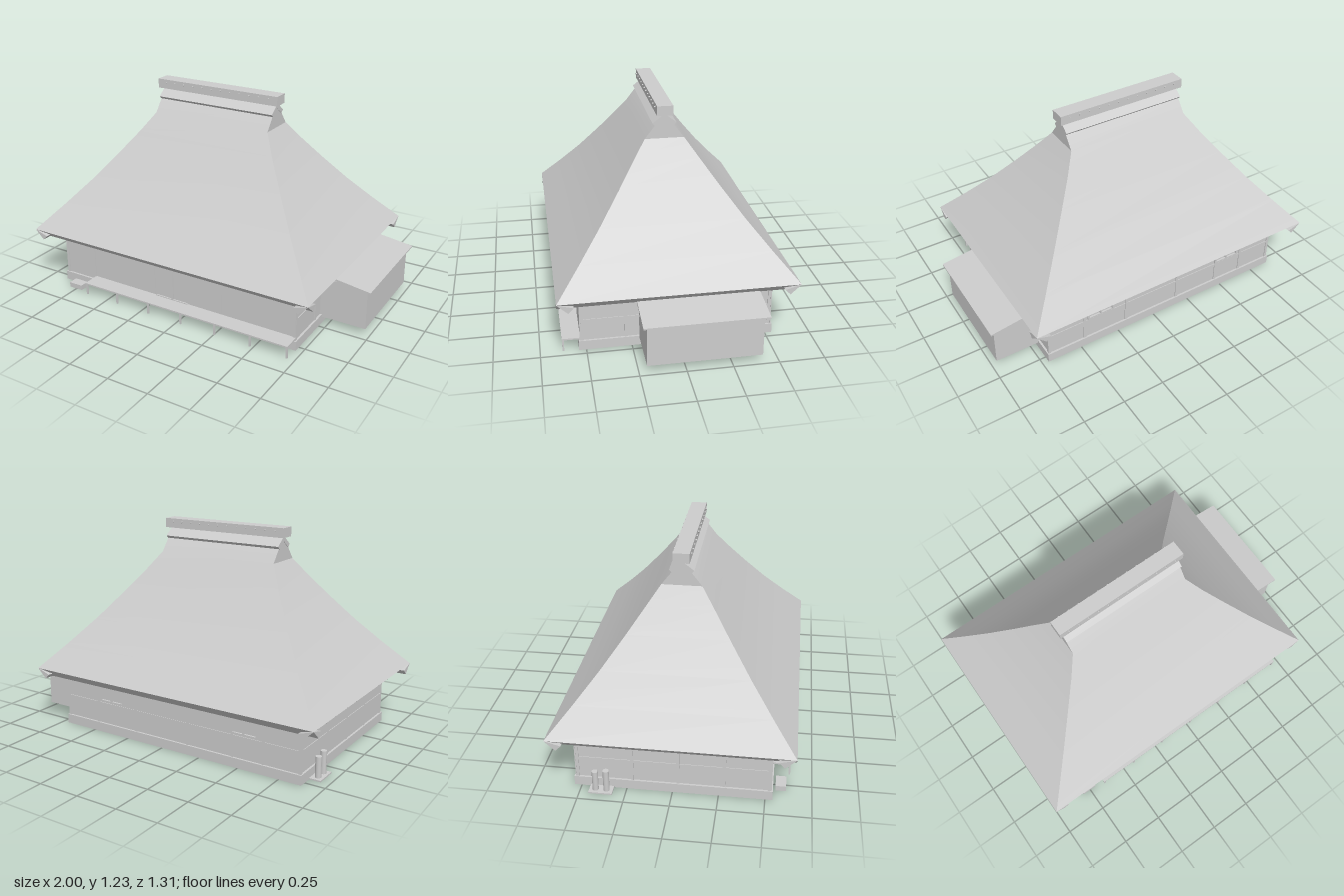
import * as THREE from 'three';

export function createModel() {
  const model = new THREE.Group();
  const paleGrey = new THREE.MeshStandardMaterial({ color: 0xcccccc });
  const CX = -0.085; // centre of the main house along x

  const add = (name, geometry) => {
    const mesh = new THREE.Mesh(geometry, paleGrey);
    mesh.name = name;
    model.add(mesh);
    return mesh;
  };
  // box given by its limits
  const box = (name, x0, x1, y0, y1, z0, z1) => add(name,
    new THREE.BoxGeometry(x1 - x0, y1 - y0, z1 - z0)
      .translate((x0 + x1) / 2, (y0 + y1) / 2, (z0 + z1) / 2));
  // prism with an (x, y) profile running along z
  const prismZ = (name, pts, z0, z1) => {
    const shape = new THREE.Shape(pts.map(p => new THREE.Vector2(p[0], p[1])));
    return add(name, new THREE.ExtrudeGeometry(shape, { depth: z1 - z0, bevelEnabled: false }).translate(0, 0, z0));
  };
  // prism with a (z, y) profile running along x
  const prismX = (name, pts, x0, x1) => {
    const shape = new THREE.Shape(pts.map(p => new THREE.Vector2(-p[0], p[1])));
    return add(name, new THREE.ExtrudeGeometry(shape, { depth: x1 - x0, bevelEnabled: false })
      .rotateY(Math.PI / 2).translate(x0, 0, 0));
  };

  // ---- thatched roof: four curved slopes; [height, half depth] levels
  const levels = [[0.36, 0.655], [0.505, 0.525], [0.652, 0.4], [0.81, 0.278],
    [0.935, 0.186], [1.04, 0.11], [1.11, 0.056], [1.17, 0]];
  const GABLE = 0.377;
  const halfX = z => Math.max(z + 0.26, GABLE);
  const slope = (name, rows) => { // rows of [left, right] seen from outside, bottom to top
    const pos = [], idx = [];
    rows.forEach(([l, r], i) => {
      pos.push(...l, ...r);
      const k = i * 2;
      if (i) idx.push(k - 2, k - 1, k + 1, k - 2, k + 1, k);
    });
    const g = new THREE.BufferGeometry();
    g.setAttribute('position', new THREE.Float32BufferAttribute(pos, 3));
    g.setIndex(idx);
    g.computeVertexNormals();
    return add(name, g);
  };
  for (const s of [1, -1]) {
    slope(s > 0 ? 'frontRoofSlope' : 'backRoofSlope', levels.map(([y, z]) =>
      [[CX - s * halfX(z), y, s * z], [CX + s * halfX(z), y, s * z]]));
    slope(s > 0 ? 'leftRoofSlope' : 'rightRoofSlope', levels.slice(0, 6).map(([y, z]) =>
      [[CX + s * halfX(z), y, s * z], [CX + s * halfX(z), y, -s * z]]));
    slope('gable', levels.slice(5).map(([y, z]) =>
      [[CX + s * GABLE, y, s * z], [CX + s * GABLE, y, -s * z]]));
    // overhanging eave edges, crossing at the corners
    prismX('eaveEdge', [[s * 0.655, 0.36], [s * 0.595, 0.305], [s * 0.565, 0.335]], CX - 0.915, CX + 0.915);
    const ex = d => CX + s * (0.915 - d);
    prismZ('eaveEdge', [[ex(0), 0.36], [ex(0.058), 0.305], [ex(0.085), 0.332]], -0.655, 0.655);
  }
  box('soffit', CX - 0.84, CX + 0.84, 0.334, 0.338, -0.575, 0.575);

  // ---- ridge cap, ridge beam and its pegs
  prismX('ridgeCap', [[0, 1.18], [0.067, 1.128], [0.05, 1.11], [0, 1.15], [-0.05, 1.11], [-0.067, 1.128]],
    CX - 0.38, CX + 0.38);
  box('ridgeBeam', CX - 0.4, CX + 0.4, 1.175, 1.23, -0.045, 0.045);
  for (let i = 0; i < 12; i++) {
    const peg = add('ridgePeg', new THREE.CylinderGeometry(0.005, 0.005, 0.106, 8).rotateX(Math.PI / 2));
    peg.position.set(CX - 0.345 + i * 0.0627, 1.212, 0);
  }

  // ---- foundation frame, floor and wall body
  for (const s of [1, -1]) {
    const z = s * 0.522, x = CX + s * 0.78;
    box('foundationBeam', CX - 0.798, CX + 0.798, 0, 0.055, z - 0.018, z + 0.018);
    box('foundationBeam', x - 0.018, x + 0.018, 0, 0.055, -0.504, 0.504);
  }
  box('wallBody', CX - 0.786, CX + 0.786, 0.04, 0.336, -0.528, 0.528);

  // ---- timber posts and rails on the back and sides
  for (const x of [0.7, 0.47, 0.19, -0.17, -0.46, -0.65, -0.87])
    box('backPost', x - 0.008, x + 0.008, 0.055, 0.335, -0.533, -0.527);
  box('backRail', CX - 0.786, CX + 0.786, 0.17, 0.183, -0.532, -0.527);
  for (const s of [1, -1]) {
    const x = CX + s * 0.787;
    for (const z of [-0.52, -0.22, 0.03, 0.28, 0.52])
      box('sidePost', x - 0.004, x + 0.004, 0.055, 0.335, z - 0.008, z + 0.008);
    box('sideRail', x - 0.003, x + 0.003, 0.17, 0.183, -0.52, 0.52);
  }

  // ---- two framed back windows
  for (const x of [0.365, -0.535]) {
    for (const d of [-0.08, 0, 0.08])
      box('windowUpright', x + d - 0.006, x + d + 0.006, 0.192, 0.296, -0.539, -0.528);
    for (const y of [0.192, 0.286])
      box('windowRail', x - 0.086, x + 0.086, y, y + 0.01, -0.539, -0.528);
  }

  // ---- front doors and sliding panels
  box('entranceDoor', -0.745, -0.652, 0.07, 0.282, 0.525, 0.533);
  for (const [a, b] of [[-0.42, -0.21], [0.035, 0.24], [0.475, 0.69]])
    box('slidingPanel', a, b, 0.078, 0.282, 0.525, 0.532);
  box('centrePost', -0.095, -0.082, 0.075, 0.285, 0.525, 0.536);
  box('frontSill', -0.2, 0.015, 0.072, 0.08, 0.525, 0.536);
  for (const x of [-0.867, 0.697]) box('cornerPost', x - 0.008, x + 0.008, 0.055, 0.335, 0.525, 0.534);

  // ---- veranda deck on short legs, with a step stone
  box('verandaDeck', -0.655, 0.708, 0.066, 0.075, 0.528, 0.632);
  for (let i = 0; i < 7; i++) {
    const x = -0.648 + i * 0.225;
    box('verandaLeg', x - 0.005, x + 0.005, 0, 0.067, 0.62, 0.63);
  }
  box('stepStone', -0.8, -0.71, 0, 0.03, 0.553, 0.61);

  // ---- side annex with a lean-to roof
  box('annex', 0.69, 0.975, 0.04, 0.285, -0.414, 0.208);
  prismZ('annexRoof', [[0.69, 0.32], [0.74, 0.32], [1, 0.283], [1, 0.275], [0.69, 0.312]], -0.44, 0.23);

  // ---- two upright tanks on a slab beside the house
  box('tankSlab', -0.95, -0.87, 0, 0.008, -0.45, -0.32);
  for (const [z, h] of [[-0.415, 0.12], [-0.355, 0.13]])
    add('tank', new THREE.CylinderGeometry(0.017, 0.017, h, 16)).position.set(-0.918, 0.006 + h / 2, z);

  return model;
}
